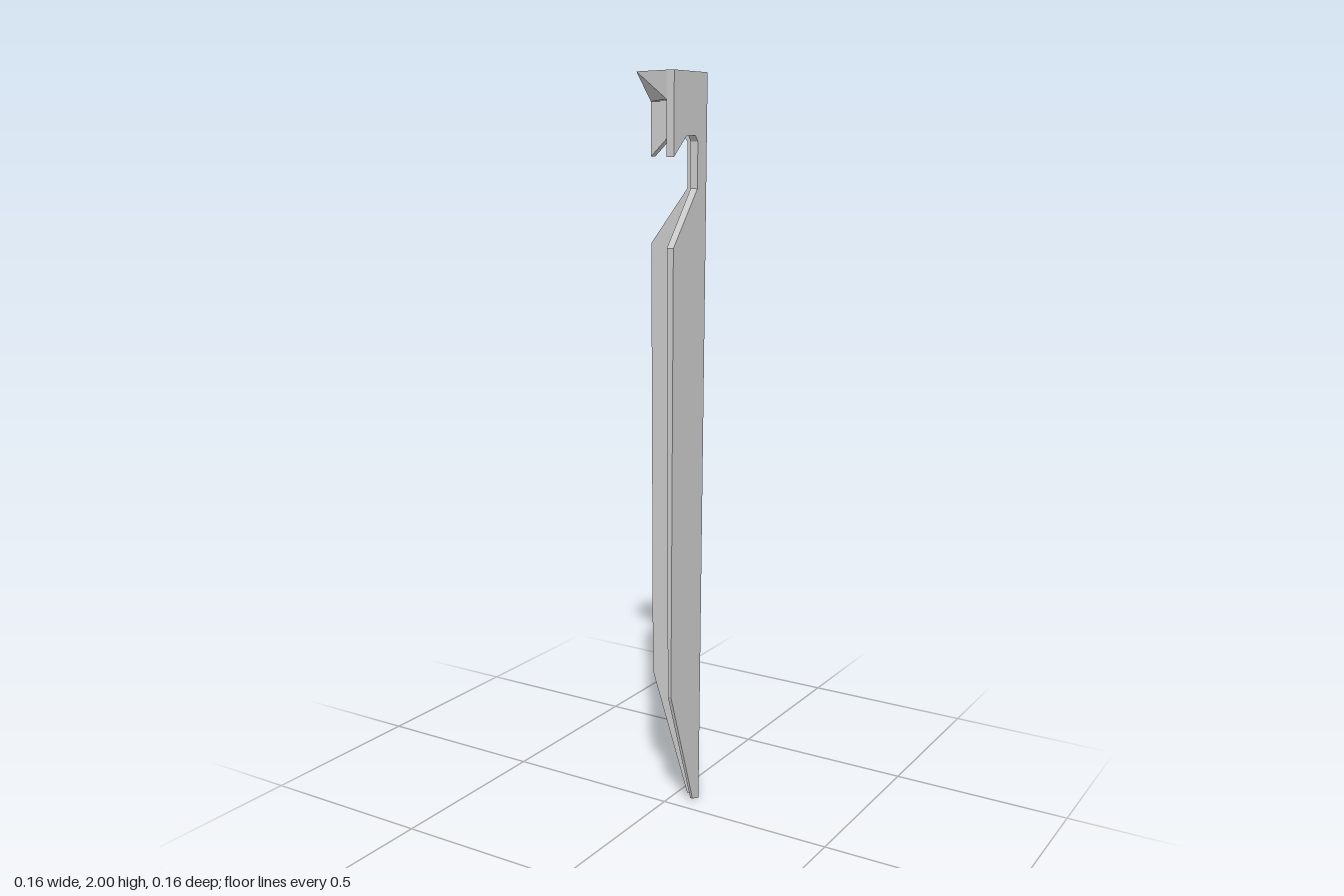
import * as THREE from 'three';
import { ConvexGeometry } from 'three/addons/geometries/ConvexGeometry.js';

const CORNER_X = 0.078, CORNER_Z = -0.083, TOP = 2;

// Draft of the outer and inner faces: the stake thins towards its tip.
const outer = (y) => 0.0095 * (1 - y / TOP);
const inner = (y) => 0.0225 - 0.006 * (1 - y / TOP);

// Side outline of one wing, u measured from the outer corner to the free edge.
function wingShape(reach) {
  return new THREE.Shape([
    [0, TOP], [outer(0.003), 0.003], [0.043, 0.013],
    [reach, 0.36], [reach, 1.565],
    [0.046, 1.71], [0.046, 1.828], [0.058, 1.843], [0.102, 1.842],
    [reach, 1.79], [reach, TOP],
  ].map(([u, y]) => new THREE.Vector2(u, y)));
}

// Extrudes a wing and lays it along the back (x) or along the side (z).
function makeWing(name, reach, alongX, material) {
  const geo = new THREE.ExtrudeGeometry(wingShape(reach), { depth: 1, bevelEnabled: false });
  const p = geo.attributes.position;
  for (let i = 0; i < p.count; i++) {
    const u = p.getX(i), y = p.getY(i);
    const v = p.getZ(i) > 0.5 ? inner(y) : outer(y);
    if (alongX) p.setXYZ(i, CORNER_X - u, y, CORNER_Z + v);
    else p.setXYZ(i, CORNER_X - v, y, CORNER_Z + u);
  }
  if (alongX) {
    // This wing is mirrored, so turn its triangles round.
    const a = new THREE.Vector3(), b = new THREE.Vector3();
    for (let i = 0; i < p.count; i += 3) {
      a.fromBufferAttribute(p, i + 1);
      b.fromBufferAttribute(p, i + 2);
      p.setXYZ(i + 1, b.x, b.y, b.z);
      p.setXYZ(i + 2, a.x, a.y, a.z);
    }
  }
  geo.computeVertexNormals();
  const mesh = new THREE.Mesh(geo, material);
  mesh.name = name;
  return mesh;
}

export function createModel() {
  const group = new THREE.Group();
  group.name = 'tentStake';
  const material = new THREE.MeshStandardMaterial({ color: 0xcccccc, flatShading: true });

  // Two hooked wings meeting at a right angle
  group.add(makeWing('backWing', 0.157, true, material));
  group.add(makeWing('sideWing', 0.163, false, material));

  // Striking head: flat top between the wings, chamfered underneath to a front point
  const xi = CORNER_X - 0.0225, zi = CORNER_Z + 0.0225;
  const points = [new THREE.Vector3(-0.052, TOP, 0.05)];
  for (const y of [1.93, TOP]) {
    points.push(
      new THREE.Vector3(CORNER_X - 0.157, y, zi),
      new THREE.Vector3(xi, y, CORNER_Z + 0.163),
      new THREE.Vector3(xi, y, zi),
    );
  }
  const head = new THREE.Mesh(new ConvexGeometry(points), material);
  head.name = 'strikingHead';
  group.add(head);

  return group;
}
